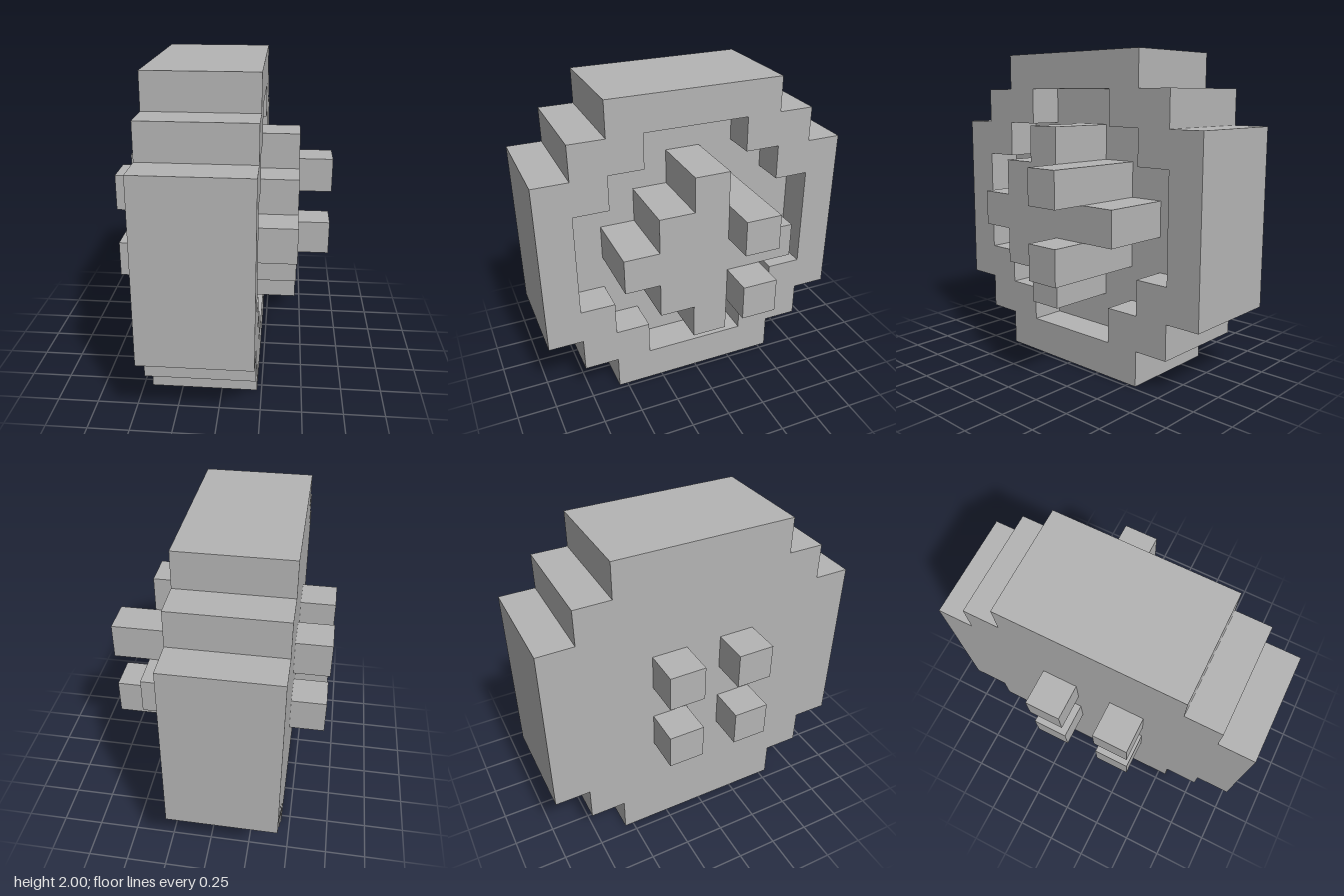
import * as THREE from 'three';

const U = 2 / 9; // one block
const CENTRE_Y = 1;

// Stepped round outline of radius n blocks: one quarter, turned four times
function steppedPoints(n) {
  const quarter = [[n, n - 2], [n - 1, n - 2], [n - 1, n - 1], [n - 2, n - 1], [n - 2, n]];
  const points = [];
  for (let q = 0; q < 4; q++) {
    for (const [a, b] of quarter) {
      const [x, y] = [[a, b], [-b, a], [-a, -b], [b, -a]][q];
      points.push(new THREE.Vector2(x * U, y * U));
    }
  }
  return points;
}

// Stepped slab along x, from block x0 to block x1, with an optional stepped hole
function steppedSlab(name, radius, x0, x1, material, holeRadius) {
  const shape = new THREE.Shape(steppedPoints(radius));
  if (holeRadius) shape.holes.push(new THREE.Path(steppedPoints(holeRadius)));
  const geometry = new THREE.ExtrudeGeometry(shape, { depth: (x1 - x0) * U, bevelEnabled: false });
  geometry.rotateY(Math.PI / 2);
  const mesh = new THREE.Mesh(geometry, material);
  mesh.name = name;
  mesh.position.set(x0 * U, CENTRE_Y, 0);
  return mesh;
}

export function createModel() {
  const grey = new THREE.MeshStandardMaterial({ color: 0xb4b4b4 });
  grey.name = 'grey';

  const wheel = new THREE.Group();
  wheel.name = 'wheel';

  // Solid disc, raised rim around the recess, and hub in its middle
  wheel.add(
    steppedSlab('disc', 4.5, -2, 0, grey),
    steppedSlab('rim', 4.5, 0, 1, grey, 3.5),
    steppedSlab('hub', 2.5, 0, 2, grey)
  );

  // Single-block pegs
  const pegGeometry = new THREE.BoxGeometry(U, U, U);
  function addPeg(name, x, y, z) {
    const peg = new THREE.Mesh(pegGeometry, grey);
    peg.name = name;
    peg.position.set(x * U, CENTRE_Y + y * U, z * U);
    wheel.add(peg);
  }
  for (const y of [-1, 1]) {
    addPeg('hubPeg', 2.5, y, -1);
    for (const z of [-1, 1]) addPeg('discPeg', -2.5, y, z);
  }

  return wheel;
}
